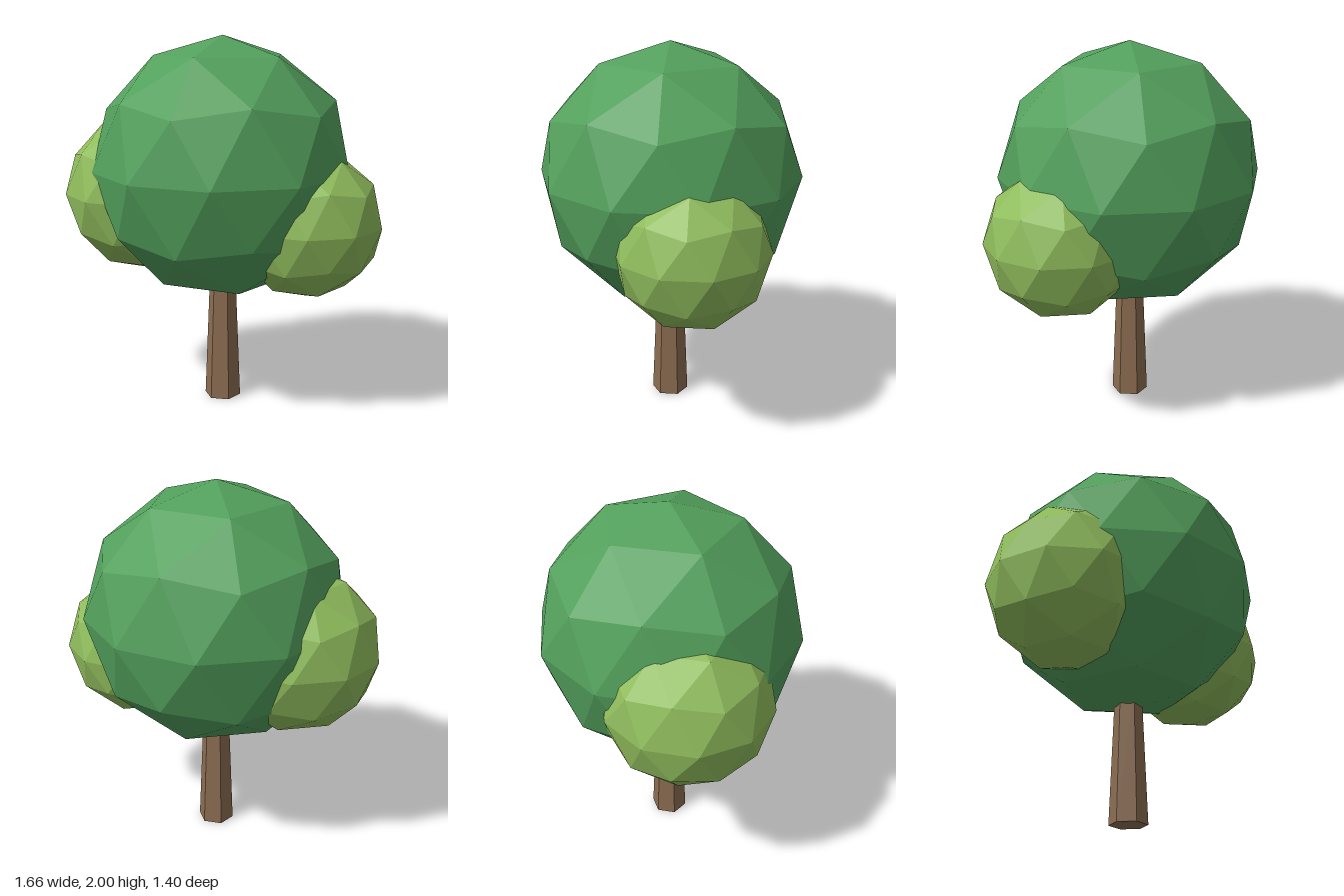
import * as THREE from 'three';

function flatMaterial(name, color) {
  const material = new THREE.MeshStandardMaterial({ color, flatShading: true });
  material.name = name;
  return material;
}

// Faceted ball of leaves, turned so that a corner points straight up
function foliage(name, radius, position, material) {
  const geometry = new THREE.IcosahedronGeometry(radius, 1);
  geometry.rotateZ(-Math.atan(2 / (1 + Math.sqrt(5))));
  const mesh = new THREE.Mesh(geometry, material);
  mesh.name = name;
  mesh.position.set(...position);
  return mesh;
}

export function createModel() {
  const bark = flatMaterial('bark brown', 0x8c6d52);
  const leaf = flatMaterial('leaf green', 0x53a05c);
  const lime = flatMaterial('light leaf green', 0x8fbc5c);

  const tree = new THREE.Group();
  tree.name = 'tree';

  // Tapered six-sided trunk, its top hidden inside the crown
  const trunkHeight = 0.7;
  const trunk = new THREE.Mesh(new THREE.CylinderGeometry(0.072, 0.1, trunkHeight, 6), bark);
  trunk.name = 'trunk';
  trunk.position.y = trunkHeight / 2;

  // Large crown with a smaller clump on each side
  tree.add(
    trunk,
    foliage('crown', 0.7, [0, 1.3, 0], leaf),
    foliage('rightClump', 0.44, [-0.41, 1.15, 0.18], lime),
    foliage('leftClump', 0.4, [0.45, 1.04, -0.15], lime),
  );
  return tree;
}
